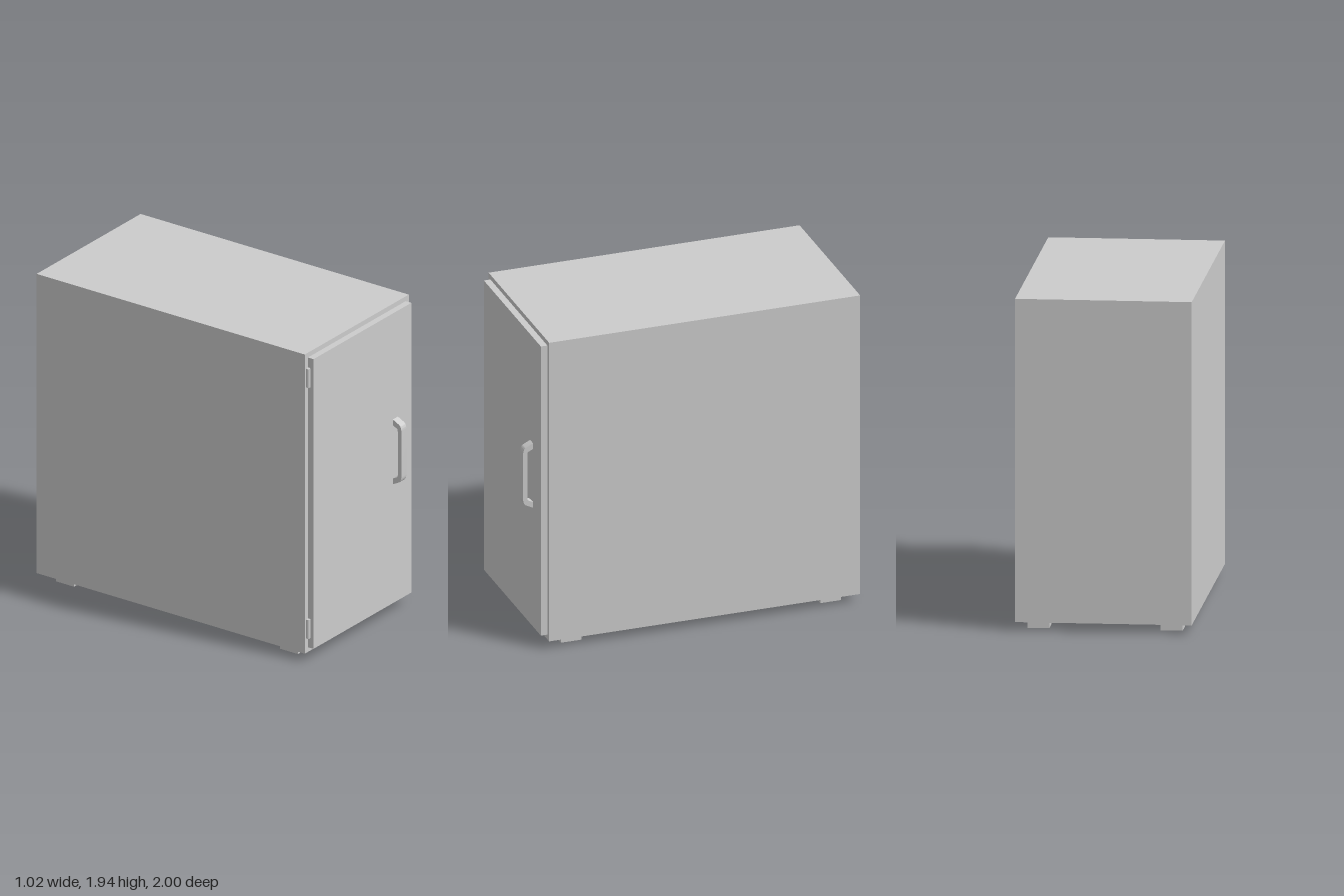
import * as THREE from 'three';
import { toCreasedNormals } from 'three/addons/utils/BufferGeometryUtils.js';

export function createModel() {
  const model = new THREE.Group();
  model.name = 'cabinet';
  const material = new THREE.MeshStandardMaterial({ color: 0xcccccc });

  const add = (name, geometry, x = 0, y = 0, z = 0) => {
    const mesh = new THREE.Mesh(geometry, material);
    mesh.name = name;
    mesh.position.set(x, y, z);
    model.add(mesh);
    return mesh;
  };

  // Cabinet body and the door standing proud of its front
  add('body', new THREE.BoxGeometry(1.02, 1.89, 1.9), 0, 0.995, -0.05);
  add('door', new THREE.BoxGeometry(0.96, 1.83, 0.04), 0, 0.995, 0.92);

  // Four square feet
  for (const [sideName, x] of [['left', 0.385], ['right', -0.385]]) {
    for (const [endName, z] of [['Front', 0.743], ['Back', -0.843]]) {
      add(`${sideName}${endName}Foot`, new THREE.BoxGeometry(0.127, 0.052, 0.127), x, 0.026, z);
    }
  }

  // Hinge barrels along the right edge of the door
  for (const [name, y] of [['lowerHinge', 0.205], ['upperHinge', 1.79]]) {
    add(name, new THREE.CylinderGeometry(0.012, 0.012, 0.118, 24), -0.493, y, 0.912);
  }

  // Bow handle: side profile (depth, height about its middle) extruded across its width
  const profile = new THREE.Shape();
  profile.moveTo(0.935, 0.207);
  profile.lineTo(0.98, 0.184);
  profile.quadraticCurveTo(1.0, 0.174, 1.0, 0.145);
  profile.lineTo(1.0, -0.145);
  profile.quadraticCurveTo(1.0, -0.174, 0.98, -0.184);
  profile.lineTo(0.935, -0.207);
  profile.lineTo(0.935, -0.17);
  profile.lineTo(0.967, -0.155);
  profile.quadraticCurveTo(0.975, -0.151, 0.975, -0.138);
  profile.lineTo(0.975, 0.138);
  profile.quadraticCurveTo(0.975, 0.151, 0.967, 0.155);
  profile.lineTo(0.935, 0.17);
  const handle = new THREE.ExtrudeGeometry(profile, { depth: 0.05, bevelEnabled: false, curveSegments: 10 });
  handle.rotateY(-Math.PI / 2);
  add('handle', toCreasedNormals(handle, 0.6), 0.348, 1.036, 0);

  return model;
}
